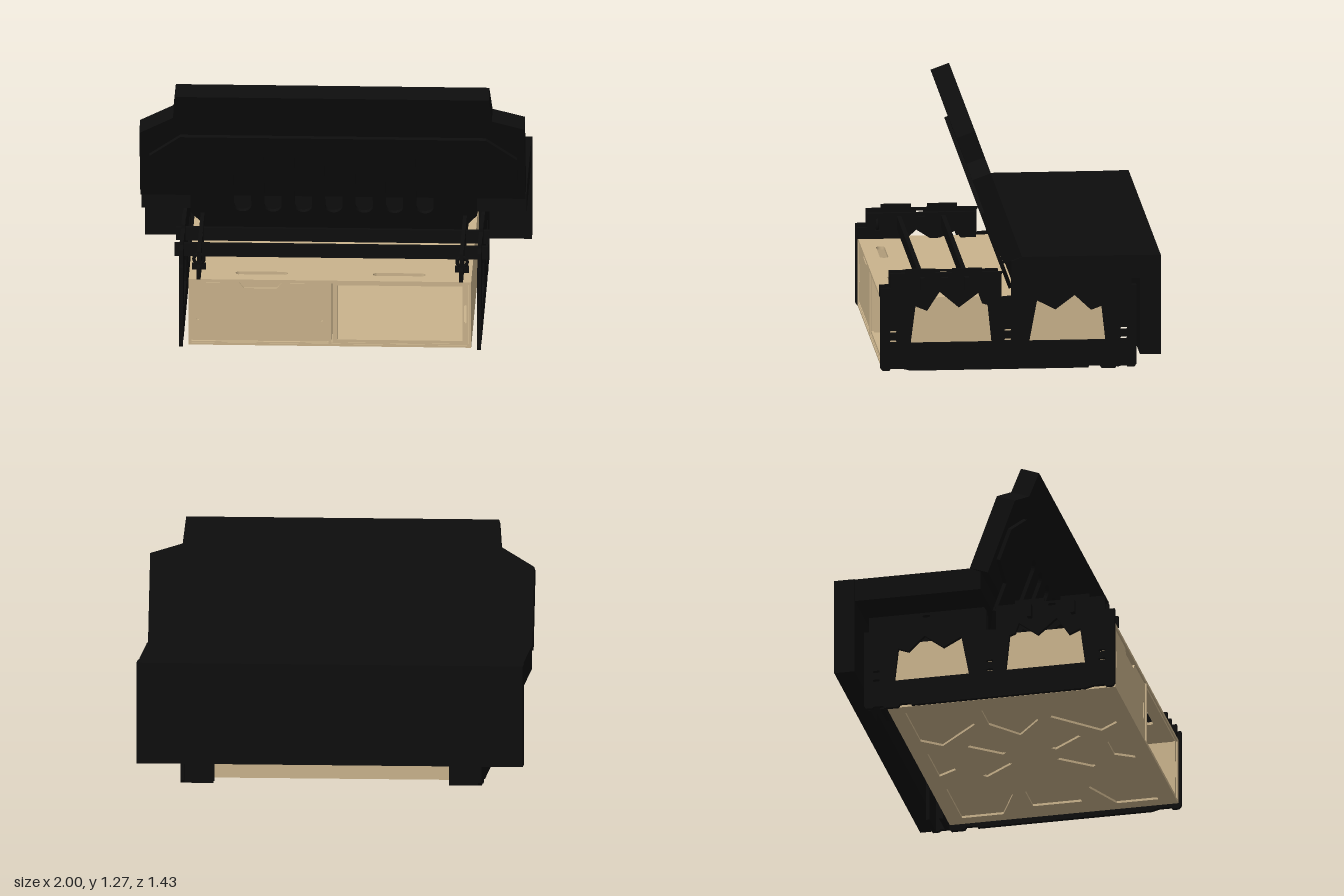
import * as THREE from 'three';

const wood = new THREE.MeshStandardMaterial({ color: 0xcab38c });
wood.name = 'plywood';
const black = new THREE.MeshStandardMaterial({ color: 0x0d0d0d });
black.name = 'black';

const path = (pts, Type = THREE.Path) => new Type(pts.map(([a, b]) => new THREE.Vector2(a, b)));
const rect = (a0, b0, a1, b1) => [[a0, b0], [a1, b0], [a1, b1], [a0, b1]];

// Pill-shaped opening given by its bounding rectangle
function pill(a0, b0, a1, b1) {
  const w = a1 - a0, h = b1 - b0, r = Math.min(w, h) / 2, pts = [];
  for (let i = 0; i < 24; i++) {
    const t = (i + 0.5) / 24 * Math.PI * 2, c = Math.cos(t), s = Math.sin(t);
    pts.push([(a0 + a1) / 2 + c * r + Math.sign(c) * (w / 2 - r), (b0 + b1) / 2 + s * r + Math.sign(s) * (h / 2 - r)]);
  }
  return pts;
}

// Flat sheet with openings, cut in the XY plane and thickened from z = 0
function sheet(outline, holes, depth) {
  const shape = path(outline, THREE.Shape);
  holes.forEach(h => shape.holes.push(path(h)));
  return new THREE.ExtrudeGeometry(shape, { depth, bevelEnabled: false });
}

// Sheet drawn as (z, y), standing upright and centred at x
const sideSheet = (outline, holes, depth, x) =>
  sheet(outline, holes, depth).translate(0, 0, -depth / 2).rotateY(-Math.PI / 2).translate(x, 0, 0);

// Sheet drawn as (x, z), lying flat from y upward
const flatSheet = (outline, holes, depth, y) =>
  sheet(outline, holes, depth).rotateX(Math.PI / 2).translate(0, y + depth, 0);

export function createModel() {
  const model = new THREE.Group();
  const add = (name, geometry, material, parent = model) => {
    const mesh = new THREE.Mesh(geometry, material);
    mesh.name = name;
    parent.add(mesh);
    return mesh;
  };
  const block = (name, x0, x1, y0, y1, z0, z1, material, parent) =>
    add(name, new THREE.BoxGeometry(x1 - x0, y1 - y0, z1 - z0)
      .translate((x0 + x1) / 2, (y0 + y1) / 2, (z0 + z1) / 2), material, parent);

  // Storage box
  const box = new THREE.Group();
  box.name = 'storageBox';
  model.add(box);
  const back = -0.5, front = 0.71;
  const floorHoles = [];
  for (const sx of [-1, 1]) for (const sz of [-1, 1]) {
    floorHoles.push([[0.66, 0.52], [0.3, 0.52], [0.22, 0.42], [0.44, 0.2], [0.66, 0.3]].map(([x, z]) => [x * sx, 0.1 + z * sz]));
    floorHoles.push([[0.05, 0.14], [0.07, 0.12], [0.2, 0.28], [0.18, 0.3]].map(([x, z]) => [x * sx, 0.1 + z * sz]));
  }
  for (const s of [-1, 1]) {
    floorHoles.push([[0.26, 0], [0.42, 0.13], [0.6, 0.13], [0.6, -0.13], [0.42, -0.13]].map(([x, z]) => [x * s, 0.1 + z]));
    floorHoles.push([[-0.14, 0.52], [0.14, 0.52], [0.08, 0.42], [-0.08, 0.42]].map(([x, z]) => [x, 0.1 + z * s]));
  }
  add('floorFrame', flatSheet(rect(-0.73, back, 0.73, front), floorHoles, 0.012, 0.018), wood, box);
  block('floorSheet', -0.725, 0.725, 0.03, 0.036, back, front - 0.005, wood, box);
  add('boxTop', flatSheet(rect(-0.73, back, 0.73, front),
    [-1, 1].map(s => pill(s * 0.355 - 0.135, 0.59, s * 0.355 + 0.135, 0.635)), 0.016, 0.364), wood, box);
  block('boxBack', -0.73, 0.73, 0.03, 0.364, back, back + 0.015, wood, box);
  for (const s of [-1, 1]) block('boxSide', s * 0.7225 - 0.0075, s * 0.7225 + 0.0075, 0.03, 0.364, back + 0.015, front, wood, box);
  block('divider', -0.008, 0.008, 0.03, 0.364, back, front, wood, box);

  // Closed door with a finger notch, and the open compartment's rim
  const door = [[-0.71, 0.04], [-0.012, 0.04], [-0.012, 0.36], [-0.25, 0.36], [-0.275, 0.33], [-0.445, 0.33], [-0.47, 0.36], [-0.71, 0.36]];
  add('door', sheet(door, [pill(-0.69, 0.15, -0.675, 0.25), pill(-0.05, 0.15, -0.035, 0.25)], 0.012).translate(0, 0, 0.69), wood, box);
  block('doorBacking', -0.715, -0.008, 0.036, 0.364, 0.675, 0.682, wood, box);
  add('openingRim', sheet(rect(0.012, 0.036, 0.714, 0.364),
    [rect(0.04, 0.052, 0.685, 0.352), pill(0.693, 0.15, 0.706, 0.25)], 0.012).translate(0, 0, 0.69), wood, box);

  // Side frames with jagged windows, feet and raised tabs
  const frame = [[0.705, 0.005], [0.67, 0.005], [0.665, 0.015], [0.6, 0.015], [0.56, 0.005], [-0.36, 0.005],
    [-0.365, 0.015], [-0.42, 0.015], [-0.43, 0], [-0.5, 0], [-0.51, 0.012], [-0.56, 0.012], [-0.565, 0.005], [-0.6, 0.005],
    [-0.61, 0.02], [-0.61, 0.44], [-0.585, 0.44], [-0.585, 0.52], [0.025, 0.52], [0.038, 0.5], [0.038, 0.39],
    [0.09, 0.385], [0.09, 0.505], [0.08, 0.52], [0.19, 0.52], [0.19, 0.54], [0.345, 0.54], [0.345, 0.52],
    [0.43, 0.52], [0.43, 0.54], [0.585, 0.54], [0.585, 0.52], [0.665, 0.52], [0.665, 0.442], [0.717, 0.442], [0.717, 0.02]];
  const windows = [
    [[0.56, 0.15], [0.535, 0.345], [0.475, 0.32], [0.41, 0.42], [0.31, 0.335], [0.21, 0.41], [0.19, 0.355], [0.16, 0.345], [0.14, 0.15]],
    [[-0.055, 0.15], [-0.095, 0.365], [-0.19, 0.315], [-0.29, 0.39], [-0.375, 0.31], [-0.43, 0.33], [-0.45, 0.15]],
    pill(0.365, 0.493, 0.405, 0.506), pill(-0.3, 0.493, -0.26, 0.506),
  ];
  for (const z of [0.65, 0.055, -0.545]) for (const y of [0.16, 0.21])
    windows.push(pill(z - 0.018, y - 0.006, z + 0.018, y + 0.006));
  const rail = [[0.715, 0.38], [0.715, 0.44], [0.665, 0.44], [0.665, 0.515], [0.1, 0.515], [0.1, 0.38], [0.18, 0.38],
    [0.21, 0.415], [0.29, 0.38], [0.34, 0.38], [0.41, 0.425], [0.46, 0.38]];
  const rearRail = [[0.025, 0.38], [0.025, 0.515], [-0.58, 0.515], [-0.58, 0.38], [-0.33, 0.38], [-0.29, 0.395], [-0.25, 0.38]];
  for (const s of [-1, 1]) {
    add('sideFrame', sideSheet(frame, windows, 0.02, s * 0.77), black);
    add('frontRail', sideSheet(rail, [pill(0.365, 0.493, 0.405, 0.506)], 0.02, s * 0.678), black);
    add('rearRail', sideSheet(rearRail, [pill(-0.3, 0.493, -0.26, 0.506)], 0.02, s * 0.678), black);
    // Clip with a ring on the front rail
    block('clip', s * 0.68 - 0.036, s * 0.68 + 0.036, 0.4, 0.43, 0.6, 0.625, black);
    add('clipRing', new THREE.TorusGeometry(0.026, 0.009, 8, 20).translate(s * 0.68, 0.455, 0.612), black);
    // Rear corner brackets
    for (const z of [-0.52, -0.59])
      block('rearBracket', s * 0.685 - 0.075, s * 0.685 + 0.075, 0.004, 0.38, z - 0.01, z + 0.01, black);
  }
  for (const z of [0.5, 0.27]) block('crossBar', -0.81, 0.81, 0.43, 0.5, z - 0.011, z + 0.011, black);

  // Seat cushion and the valance hanging behind it
  add('seat', sideSheet([[0, 0.645], [0.055, 0.622], [0.055, 0.522], [-0.61, 0.522], [-0.61, 0.645]], [], 1.99, 0), black);
  block('rearValance', -1, 1, 0.12, 0.645, -0.718, -0.61, black);

  // Reclined backrest: cushion with stepped shoulders and a slotted support board
  const backrest = new THREE.Group();
  backrest.name = 'backrest';
  backrest.position.set(0, 0.645, 0);
  backrest.rotation.x = THREE.MathUtils.degToRad(20);
  model.add(backrest);
  add('backCushion', sheet([[-1, 0], [0.99, 0], [0.99, 0.473], [0.823, 0.525], [0.808, 0.668], [-0.812, 0.668], [-0.825, 0.525], [-1, 0.42]],
    [], 0.102), black, backrest);
  const slots = [];
  for (let i = -3; i <= 3; i++) slots.push(pill(i * 0.157 - 0.045, -0.09, i * 0.157 + 0.045, 0.32));
  add('supportBoard', sheet([[-0.57, -0.235], [0.57, -0.235], [0.66, -0.2], [0.74, -0.1], [0.74, 0.06], [0.95, 0.1], [0.95, 0.28], [0.79, 0.411],
    [-0.79, 0.411], [-0.95, 0.28], [-0.95, 0.1], [-0.74, 0.06], [-0.74, -0.1], [-0.66, -0.2]], slots, 0.02).translate(0, 0, 0.102), black, backrest);

  return model;
}
